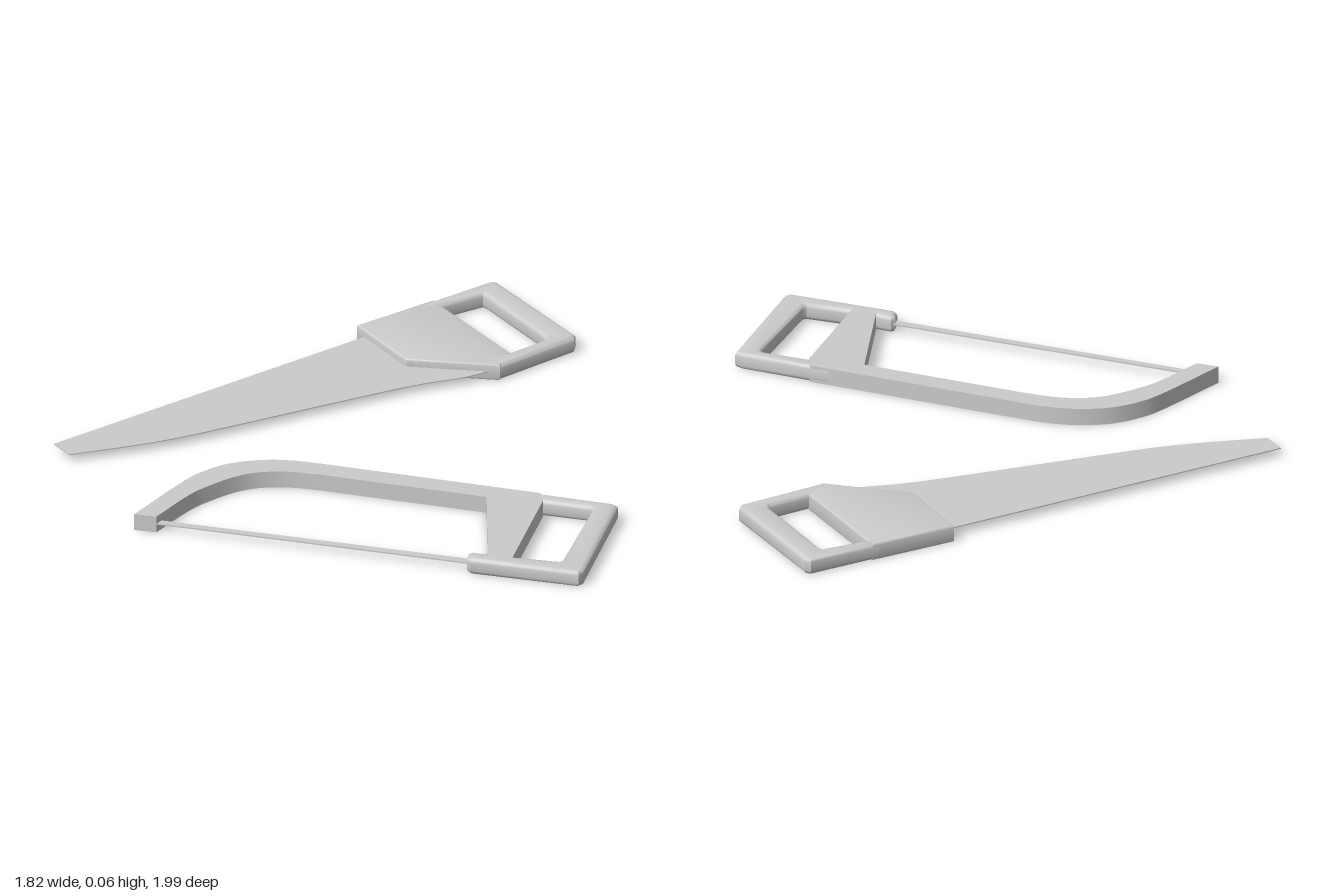
import * as THREE from 'three';
import { toCreasedNormals } from 'three/addons/utils/BufferGeometryUtils.js';

const HEIGHT = 0.06;

const material = new THREE.MeshStandardMaterial({ color: 0xcccccc });

// Smooth run of [x, z] points through a few control points
function smooth(points, divisions = 20) {
  const curve = new THREE.SplineCurve(points.map(([x, z]) => new THREE.Vector2(x, z)));
  return curve.getPoints(divisions).map((p) => [p.x, p.y]);
}

// Lying slab from an [x, z] outline, from y = bottom up, with optional rounded edges
function slab(name, outline, height, bottom = 0, bevel = 0) {
  const shape = new THREE.Shape(outline.map(([x, z]) => new THREE.Vector2(x, -z)));
  const geometry = new THREE.ExtrudeGeometry(shape, {
    depth: height - 2 * bevel,
    bevelEnabled: bevel > 0,
    bevelThickness: bevel,
    bevelSize: bevel,
    bevelOffset: -bevel,
    bevelSegments: 3,
  });
  geometry.translate(0, 0, bevel + bottom);
  geometry.rotateX(-Math.PI / 2);
  const mesh = new THREE.Mesh(toCreasedNormals(geometry, 0.65), material);
  mesh.name = name;
  return mesh;
}

function createHandSaw() {
  const saw = new THREE.Group();
  saw.name = 'handSaw';

  // Tapered blade with a gently curved cutting edge
  const cuttingEdge = smooth([
    [-0.87, -0.108], [-0.56, -0.148], [-0.29, -0.217], [0.03, -0.307],
    [0.325, -0.386], [0.495, -0.413], [0.60, -0.445],
  ]);
  saw.add(slab('handSawBlade',
    [[-0.91, -0.185], ...cuttingEdge, [0.60, -0.55], [0.30, -0.775]], 0.004, 0.028));

  // Flat cheek that clamps the blade
  saw.add(slab('handSawCheek', [
    [0.20, -0.77], [0.325, -0.515], [0.625, -0.428],
    [0.67, -0.51], [0.495, -0.86], [0.477, -0.898],
  ], HEIGHT, 0, 0.006));

  // Rounded grip closing the hand hole
  saw.add(slab('handSawGrip', [
    [0.43, -0.876], [0.685, -0.997], [0.705, -0.99], [0.905, -0.595], [0.898, -0.572],
    [0.625, -0.428], [0.59, -0.47], [0.67, -0.512], [0.80, -0.58], [0.80, -0.605],
    [0.655, -0.9], [0.645, -0.915], [0.495, -0.86], [0.42, -0.828],
  ], HEIGHT, 0, 0.015));
  return saw;
}

function createHackSaw() {
  const saw = new THREE.Group();
  saw.name = 'hackSaw';

  // Arched frame with the web running down to the lower rail
  const outerArch = smooth([
    [-0.73, 0.375], [-0.55, 0.196], [-0.47, 0.132], [-0.37, 0.088],
    [-0.26, 0.08], [-0.155, 0.1], [-0.05, 0.143],
  ], 24);
  const innerArch = smooth([
    [-0.07, 0.214], [-0.18, 0.173], [-0.28, 0.162], [-0.36, 0.178],
    [-0.45, 0.222], [-0.53, 0.276], [-0.66, 0.403],
  ], 24);
  saw.add(slab('hackSawFrame', [
    ...outerArch, [0.62, 0.447], [0.62, 0.50], [0.455, 0.873],
    [0.38, 0.845], [0.44, 0.445], ...innerArch,
  ], HEIGHT));

  // Rounded grip with the blade clamp at the end of its lower rail
  saw.add(slab('hackSawGrip', [
    [0.56, 0.419], [0.845, 0.548], [0.862, 0.565], [0.68, 0.98], [0.66, 0.993],
    [0.32, 0.85], [0.312, 0.835], [0.32, 0.803], [0.335, 0.797], [0.385, 0.82],
    [0.465, 0.852], [0.61, 0.905], [0.62, 0.9], [0.773, 0.578], [0.77, 0.565],
    [0.62, 0.50], [0.56, 0.475],
  ], HEIGHT, 0, 0.015));

  // Narrow blade stretched across the frame
  saw.add(slab('hackSawBlade',
    [[-0.67, 0.37], [0.34, 0.805], [0.34, 0.835], [-0.67, 0.395]], 0.005, 0.0275));
  return saw;
}

export function createModel() {
  const model = new THREE.Group();
  model.name = 'saws';
  model.add(createHandSaw(), createHackSaw());
  return model;
}
